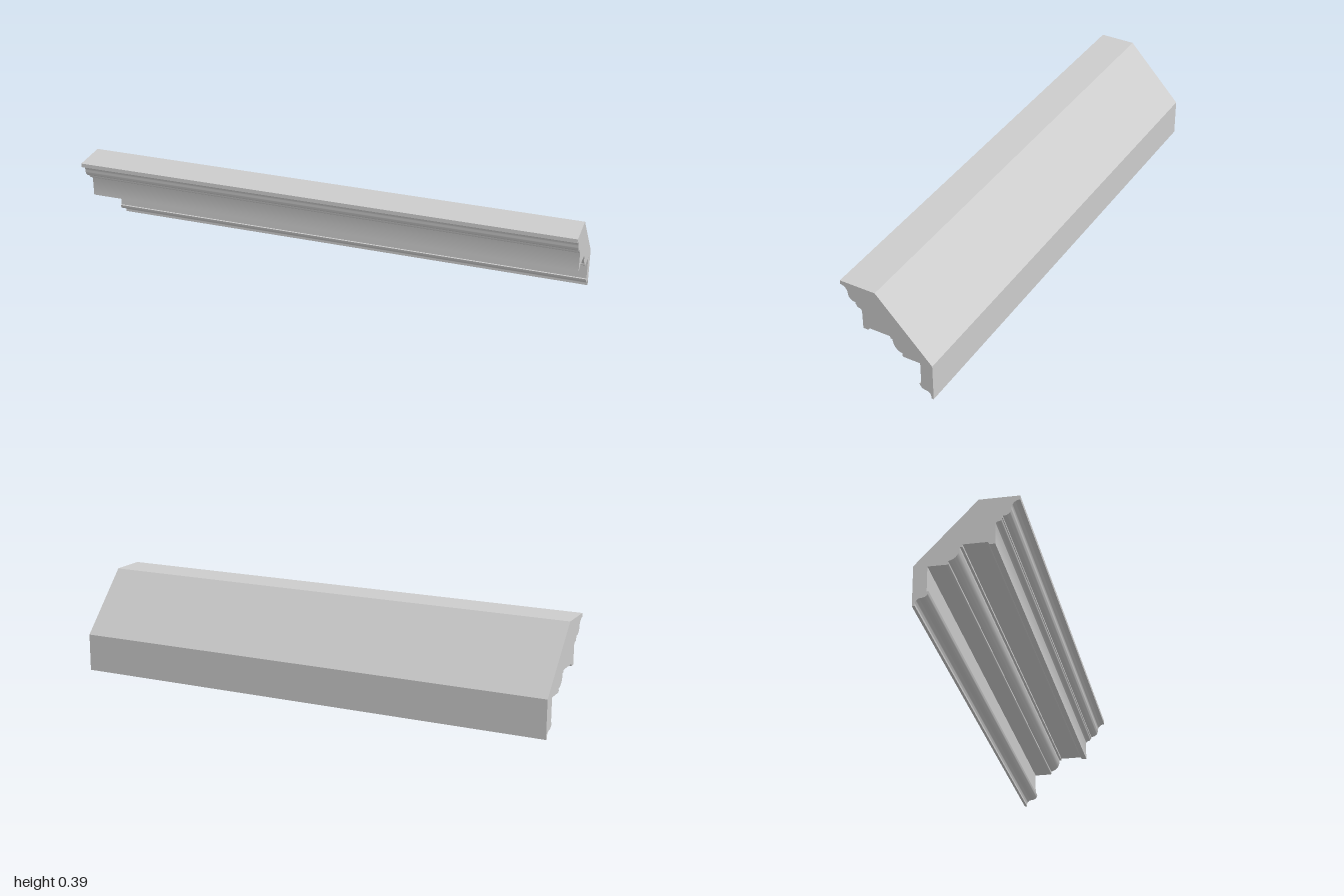
import * as THREE from 'three';
import { toCreasedNormals } from 'three/addons/utils/BufferGeometryUtils.js';

const LENGTH = 2;

// Cross-section in (z, y); each step is a straight run [z, y]
// or a quarter round [cornerZ, cornerY, endZ, endY] pulled towards its corner.
const START = [0.186, 0.391];
const STEPS = [
  // crown: cove above a quarter round
  [0.186, 0.375], [0.156, 0.375, 0.156, 0.345], [0.156, 0.317, 0.128, 0.317], [0.125, 0.317],
  // small step and bead
  [0.125, 0.308], [0.122, 0.308], [0.122, 0.297, 0.111, 0.297], [0.1, 0.297, 0.1, 0.285],
  // fascia and recessed soffit
  [0.1, 0.211], [0.079, 0.211], [0.079, 0.22, 0.07, 0.22], [-0.014, 0.22],
  // large quarter round and bead below it
  [-0.014, 0.211], [-0.023, 0.211], [-0.023, 0.161, -0.066, 0.161],
  [-0.061, 0.161, -0.061, 0.154], [-0.061, 0.147, -0.068, 0.147],
  // frieze and foot moulding
  [-0.135, 0.147], [-0.135, 0.052], [-0.128, 0.052],
  [-0.128, 0.029, -0.153, 0.029], [-0.175, 0.029, -0.175, 0.009],
  // foot, wall face and sloping back
  [-0.175, 0], [-0.185, 0], [-0.185, 0.153], [0.04, 0.391],
];

function makeProfile() {
  const shape = new THREE.Shape();
  const k = 0.5523;
  let [z, y] = START;
  shape.moveTo(z, y);
  for (const step of STEPS) {
    if (step.length === 2) {
      shape.lineTo(step[0], step[1]);
      [z, y] = step;
    } else {
      const [cz, cy, ez, ey] = step;
      shape.bezierCurveTo(z + (cz - z) * k, y + (cy - y) * k, ez + (cz - ez) * k, ey + (cy - ey) * k, ez, ey);
      [z, y] = [ez, ey];
    }
  }
  shape.closePath();
  return shape;
}

export function createModel() {
  const group = new THREE.Group();
  group.name = 'cornice';

  // Run the section along x
  const geometry = new THREE.ExtrudeGeometry(makeProfile(), {
    depth: LENGTH, bevelEnabled: false, curveSegments: 12,
  });
  geometry.rotateY(-Math.PI / 2);
  geometry.translate(LENGTH / 2, 0, 0);

  const moulding = new THREE.Mesh(
    toCreasedNormals(geometry, Math.PI / 6),
    new THREE.MeshStandardMaterial({ color: 0xcccccc }),
  );
  moulding.name = 'corniceMoulding';
  group.add(moulding);
  return group;
}
